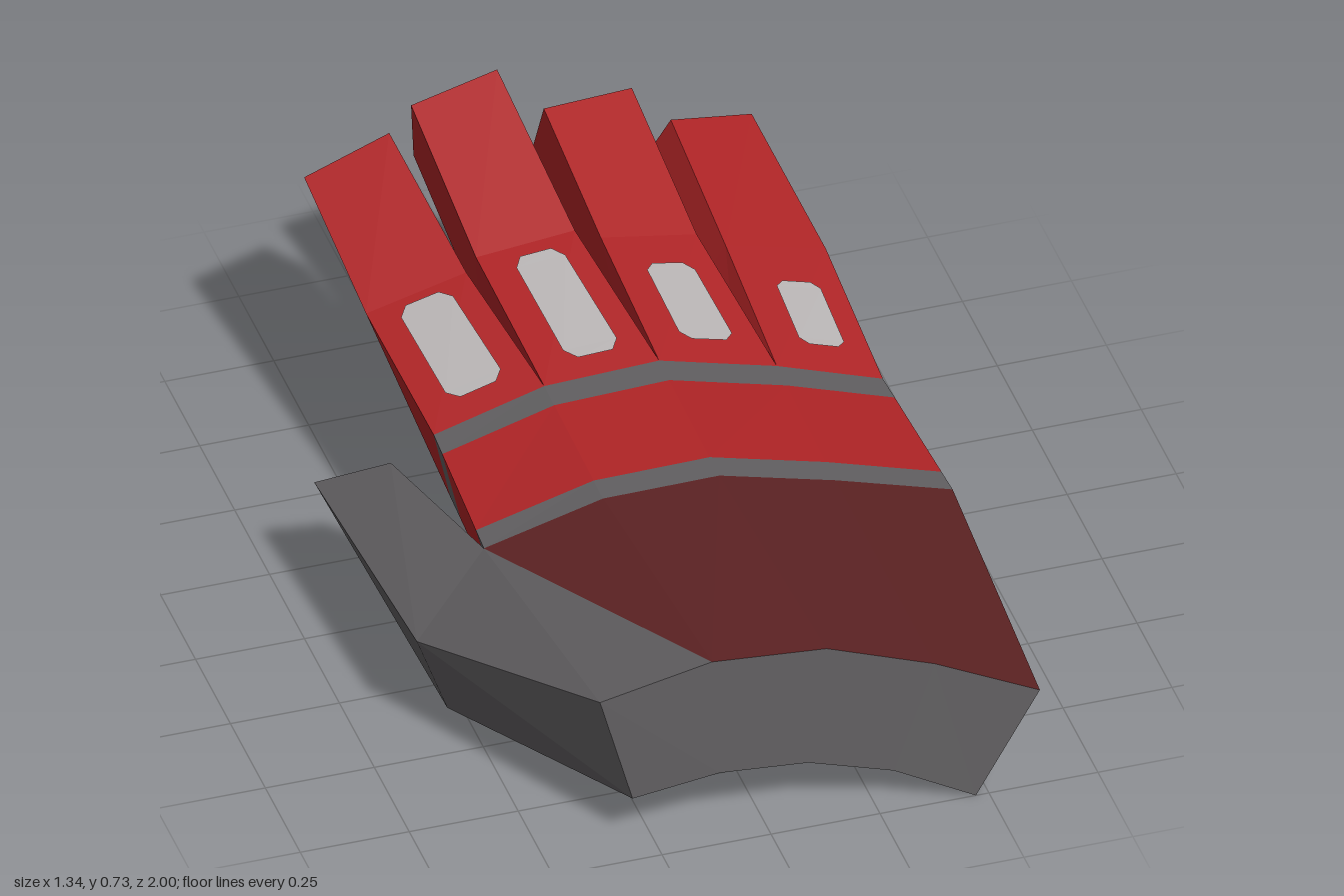
import * as THREE from 'three';

const mat = (name, color, side = THREE.FrontSide) => {
  const m = new THREE.MeshStandardMaterial({ color, side, flatShading: true });
  m.name = name;
  return m;
};

// Flat-shaded mesh from a list of quads, corners counter-clockwise
function quadMesh(name, quads, material) {
  const pos = [];
  for (const [a, b, c, d] of quads) pos.push(...a, ...b, ...c, ...a, ...c, ...d);
  const g = new THREE.BufferGeometry();
  g.setAttribute('position', new THREE.Float32BufferAttribute(pos, 3));
  g.computeVertexNormals();
  const mesh = new THREE.Mesh(g, material);
  mesh.name = name;
  return mesh;
}

// A section is { top, bottom }, both running from -x to +x
const ring = s => [...s.top, ...[...s.bottom].reverse()];

function capQuads(s, back) {
  const quads = [];
  for (let i = 0; i < s.top.length - 1; i++) {
    const q = [s.top[i], s.bottom[i], s.bottom[i + 1], s.top[i + 1]];
    quads.push(back ? q.reverse() : q);
  }
  return quads;
}

// Skin between sections running from front to back
function loftQuads(sections) {
  const quads = [];
  for (let k = 0; k < sections.length - 1; k++) {
    const p = ring(sections[k]), q = ring(sections[k + 1]);
    p.forEach((a, i) => {
      const j = (i + 1) % p.length;
      quads.push([a, p[j], q[j], q[i]]);
    });
  }
  return quads;
}

const mix = (a, b, t) => a.map((v, i) => v + (b[i] - v) * t);
const mixSection = (s, e, t) => ({
  top: s.top.map((p, i) => mix(p, e.top[i], t)),
  bottom: s.bottom.map((p, i) => mix(p, e.bottom[i], t)),
});

export function createModel() {
  const group = new THREE.Group();
  group.name = 'glove';
  const red = mat('red', 0xac2325);
  const maroon = mat('maroon', 0x5c2223);
  const grey = mat('grey', 0x5f5d5f);
  const pale = mat('pale grey', 0xb5b1b1, THREE.DoubleSide);

  // Arched hand sections, from wrist to finger roots
  const wrist = {
    top: [[-0.37, 0.39, 0.93], [-0.11, 0.435, 0.92], [0.15, 0.42, 0.93], [0.39, 0.343, 0.955], [0.62, 0.245, 0.99]],
    bottom: [[-0.3, 0.125, 0.945], [-0.1, 0.15, 0.945], [0.1, 0.14, 0.955], [0.29, 0.09, 0.975], [0.47, 0, 1]],
  };
  const bandStart = {
    top: [[-0.425, 0.36, 0.27], [-0.15, 0.43, 0.265], [0.12, 0.425, 0.255], [0.39, 0.345, 0.245], [0.665, 0.245, 0.225]],
    bottom: [[-0.36, 0.13, 0.25], [-0.12, 0.165, 0.245], [0.1, 0.155, 0.235], [0.3, 0.095, 0.22], [0.51, 0, 0.2]],
  };
  const roots = {
    top: [[-0.42, 0.405, -0.105], [-0.16, 0.465, -0.125], [0.11, 0.46, -0.145], [0.38, 0.385, -0.145], [0.622, 0.3, -0.14]],
    bottom: [[-0.37, 0.2, -0.14], [-0.13, 0.27, -0.155], [0.09, 0.265, -0.17], [0.31, 0.2, -0.17], [0.51, 0.105, -0.17]],
  };
  const bandEnd = mixSection(bandStart, roots, 0.16);
  const knuckles = mixSection(bandStart, roots, 0.83);

  // Cuff narrows at the wrist, where the thumb begins
  const cuffFront = {
    top: [wrist.top[1], ...wrist.top.slice(1)],
    bottom: [wrist.bottom[1], ...wrist.bottom.slice(1)],
  };
  group.add(
    quadMesh('cuff', loftQuads([cuffFront, bandStart]), maroon),
    quadMesh('cuffEnd', capQuads(cuffFront, false), grey),
    quadMesh('wristBand', loftQuads([bandStart, bandEnd]), grey),
    quadMesh('handBack', loftQuads([bandEnd, knuckles]), red),
    quadMesh('knuckleBand', loftQuads([knuckles, roots]), grey),
  );

  // Dark strip on the outer edge beside the wrist band
  const stripEnd = mixSection(bandStart, roots, 0.4);
  const out = p => [p[0] + 0.004, p[1] - 0.002, p[2]];
  group.add(quadMesh('sideStrip', [
    [bandEnd.top[4], bandEnd.bottom[4], stripEnd.bottom[4], stripEnd.top[4]].map(out),
  ], maroon));

  // Thumb
  const thumb = [
    { top: wrist.top.slice(0, 2), bottom: wrist.bottom.slice(0, 2) },
    { top: [[-0.63, 0.265, 0.43], bandStart.top[0]], bottom: [[-0.56, 0.07, 0.43], bandStart.bottom[0]] },
    { top: [[-0.67, 0.28, -0.18], [-0.52, 0.355, -0.1]], bottom: [[-0.58, 0.09, -0.22], [-0.43, 0.165, -0.13]] },
  ];
  group.add(quadMesh('thumb', [
    ...capQuads(thumb[0], false), ...loftQuads(thumb), ...capQuads(thumb[2], true),
  ], grey));

  // Fingers: top edges at the middle and tip, the drop to the underside, patch extents
  const fingers = [
    { name: 'index', mid: [[-0.455, 0.48, -0.48], [-0.225, 0.54, -0.48]], tip: [[-0.48, 0.6, -0.845], [-0.28, 0.665, -0.86]],
      drop: [0.055, -0.18, -0.055], u: [0.25, 0.76], v: [0.16, 0.93] },
    { name: 'middle', mid: [[-0.19, 0.545, -0.52], [0.04, 0.56, -0.53]], tip: [[-0.217, 0.698, -0.9], [-0.01, 0.728, -0.93]],
      drop: [0.008, -0.19, -0.07], u: [0.29, 0.77], v: [0.13, 0.91] },
    { name: 'ring', mid: [[0.09, 0.55, -0.5], [0.31, 0.51, -0.5]], tip: [[0.065, 0.675, -0.83], [0.28, 0.655, -0.87]],
      drop: [-0.035, -0.18, -0.06], u: [0.29, 0.76], v: [0.17, 0.77] },
    { name: 'little', mid: [[0.37, 0.48, -0.48], [0.6, 0.42, -0.48]], tip: [[0.35, 0.595, -0.81], [0.55, 0.535, -0.855]],
      drop: [-0.1, -0.175, -0.045], u: [0.33, 0.76], v: [0.2, 0.71] },
  ];
  fingers.forEach((f, i) => {
    const section = top => ({
      top,
      bottom: top.map((p, k) => p.map((v, a) => v + f.drop[a] + (a === 0 ? (k ? -0.02 : 0.02) : 0))),
    });
    const base = { top: roots.top.slice(i, i + 2), bottom: roots.bottom.slice(i, i + 2) };
    const sections = [base, section(f.mid), section(f.tip)];
    group.add(quadMesh(f.name + 'Finger', [...loftQuads(sections), ...capQuads(sections[2], true)], red));

    // Pale patch with clipped corners, just above the finger's back
    const at = (s, t) => {
      const u = f.u[0] + (f.u[1] - f.u[0]) * s, v = f.v[0] + (f.v[1] - f.v[0]) * t;
      const p = mix(mix(base.top[0], base.top[1], u), mix(f.mid[0], f.mid[1], u), v);
      return [p[0], p[1] + 0.008, p[2] + 0.002];
    };
    const c = 0.18, e = 0.09;
    group.add(quadMesh(f.name + 'Patch', [
      [at(c, 0), at(1 - c, 0), at(1, e), at(0, e)],
      [at(0, e), at(1, e), at(1, 1 - e), at(0, 1 - e)],
      [at(0, 1 - e), at(1, 1 - e), at(1 - c, 1), at(c, 1)],
    ], pale));
  });

  return group;
}
